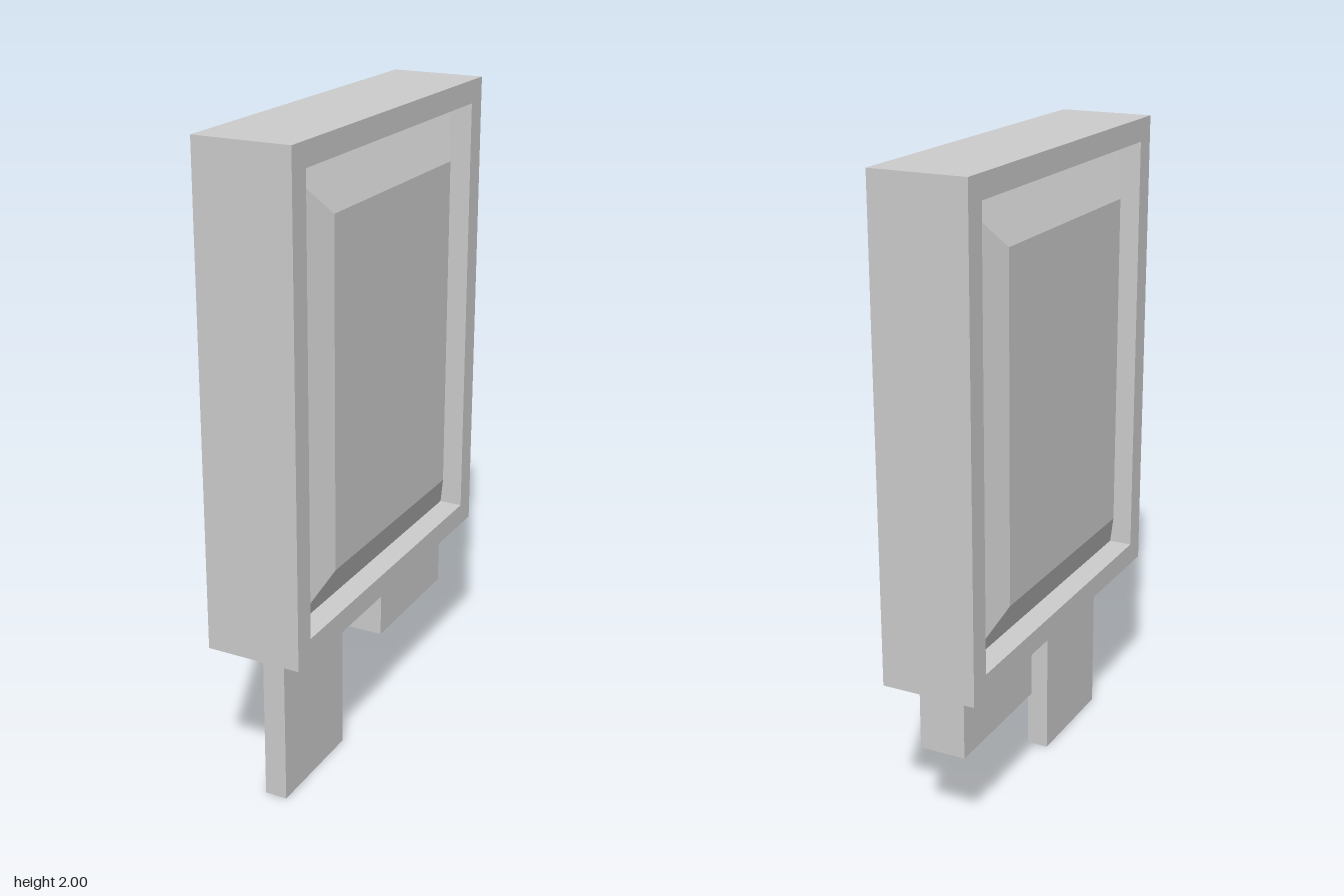
import * as THREE from 'three';

const material = new THREE.MeshStandardMaterial({ color: 0xcccccc, flatShading: true });

function addMesh(parent, name, geometry, x = 0, y = 0, z = 0) {
  const mesh = new THREE.Mesh(geometry, material);
  mesh.name = name;
  mesh.position.set(x, y, z);
  parent.add(mesh);
  return mesh;
}

// Rectangle outline centred on the origin
function trace(path, w, h) {
  path.moveTo(-w / 2, -h / 2);
  path.lineTo(w / 2, -h / 2);
  path.lineTo(w / 2, h / 2);
  path.lineTo(-w / 2, h / 2);
  path.closePath();
  return path;
}

export function createModel() {
  const group = new THREE.Group();
  const thickness = 0.295, bottom = 0.522, top = 2;
  const height = top - bottom, midY = (top + bottom) / 2;
  const openW = 1.034, openH = 1.337, bevel = 0.149;

  // Outer frame with a rectangular opening, extruded along x
  const outline = trace(new THREE.Shape(), 1.177, height);
  outline.holes.push(trace(new THREE.Path(), openW, openH));
  const frame = new THREE.ExtrudeGeometry(outline, { depth: thickness, bevelEnabled: false });
  frame.translate(0, 0, -thickness / 2);
  frame.rotateY(Math.PI / 2);
  addMesh(group, 'frame', frame, 0, midY, 0);

  // Raised panels: sloped edges rise from the recess to the frame's face
  const rise = thickness / 4;
  for (const side of [1, -1]) {
    const panel = new THREE.BoxGeometry(rise, openH, openW);
    const p = panel.attributes.position;
    for (let i = 0; i < p.count; i++) {
      if (p.getX(i) * side > 0) {
        p.setY(i, p.getY(i) - Math.sign(p.getY(i)) * bevel);
        p.setZ(i, p.getZ(i) - Math.sign(p.getZ(i)) * bevel);
      }
    }
    panel.computeVertexNormals();
    addMesh(group, side > 0 ? 'leftPanel' : 'rightPanel', panel, side * rise * 1.5, midY, 0);
  }

  // Long thin tab at the front and short thick block at the back
  addMesh(group, 'longTab', new THREE.BoxGeometry(0.07, bottom, 0.362), 0, bottom / 2, 0.296);
  addMesh(group, 'shortBlock', new THREE.BoxGeometry(0.145, bottom - 0.3, 0.438), 0, (bottom + 0.3) / 2, -0.294);

  return group;
}
